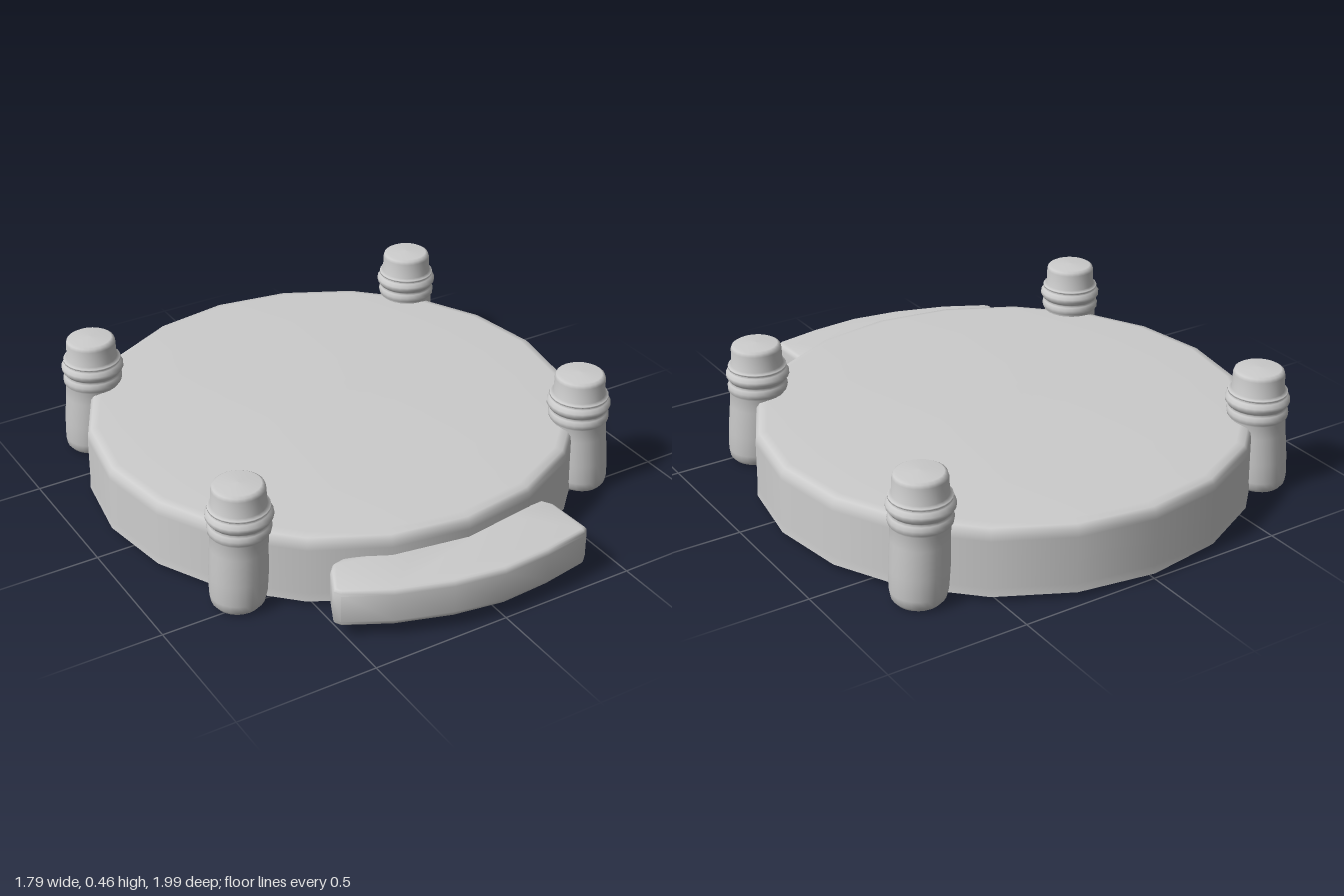
import * as THREE from 'three';
import { toCreasedNormals } from 'three/addons/utils/BufferGeometryUtils.js';

const v2 = (pts) => pts.map(([a, b]) => new THREE.Vector2(a, b));

export function createModel() {
  const group = new THREE.Group();
  const grey = new THREE.MeshStandardMaterial({ color: 0xcccccc, side: THREE.DoubleSide });
  grey.name = 'plain grey';
  const add = (name, geometry) => {
    const mesh = new THREE.Mesh(geometry, grey);
    mesh.name = name;
    group.add(mesh);
    return mesh;
  };
  const plateZ = -0.11;

  // Round plate: slightly domed top, soft rim, flat underside
  const plate = new THREE.LatheGeometry(v2([
    [0.893, 0.02], [0.89, 0.05], [0.888, 0.22], [0.885, 0.245], [0.873, 0.261],
    [0.845, 0.267], [0.6, 0.273], [0.3, 0.279], [0, 0.281],
  ]), 20);
  add('plate', plate).position.z = plateZ;
  const underside = new THREE.CircleGeometry(0.893, 20).rotateX(Math.PI / 2);
  add('plateUnderside', underside).position.set(0, 0.02, plateZ);

  // Four ringed posts, open below, with feet splayed slightly outward
  const postProfile = v2([
    [0.068, 0], [0.078, 0.003], [0.091, 0.018], [0.097, 0.045], [0.1, 0.12], [0.098, 0.22],
    [0.098, 0.27], [0.106, 0.28], [0.108, 0.295], [0.103, 0.308],
    [0.098, 0.314], [0.104, 0.32], [0.113, 0.333], [0.113, 0.345], [0.104, 0.358],
    [0.098, 0.363], [0.105, 0.367], [0.104, 0.372], [0.092, 0.377],
    [0.09, 0.435], [0.086, 0.447], [0.076, 0.453], [0, 0.457],
  ]);
  for (const sx of [-1, 1]) {
    for (const sz of [-1, 1]) {
      const post = new THREE.LatheGeometry(postProfile, 24);
      const p = post.attributes.position;
      for (let i = 0; i < p.count; i++) {
        const lean = Math.max(0, 0.32 - p.getY(i));
        p.setX(i, p.getX(i) + sx * 0.07 * lean);
        p.setZ(i, p.getZ(i) + sz * 0.04 * lean);
      }
      const name = (sz > 0 ? 'front' : 'back') + (sx > 0 ? 'Left' : 'Right') + 'Post';
      add(name, post).position.set(sx * 0.684, 0, plateZ + sz * 0.566);
    }
  }

  // Curved lip hugging the front of the plate
  const outline = [
    [-0.535, 0.795], [-0.52, 0.82], [-0.37, 0.9], [-0.18, 0.962], [0, 0.99], [0.18, 0.978],
    [0.35, 0.948], [0.37, 0.93], [0.36, 0.76], [0.335, 0.72],
    [0.18, 0.73], [0, 0.745], [-0.18, 0.73], [-0.42, 0.66], [-0.465, 0.67], [-0.49, 0.7],
  ];
  const lip = new THREE.ExtrudeGeometry(new THREE.Shape(v2(outline.map(([x, z]) => [x, -z]))), {
    depth: 0.1, bevelThickness: 0.02, bevelSize: 0.015, bevelOffset: -0.015, bevelSegments: 3,
  });
  lip.rotateX(-Math.PI / 2);
  add('frontLip', toCreasedNormals(lip, 0.8)).position.y = 0.07;

  return group;
}
